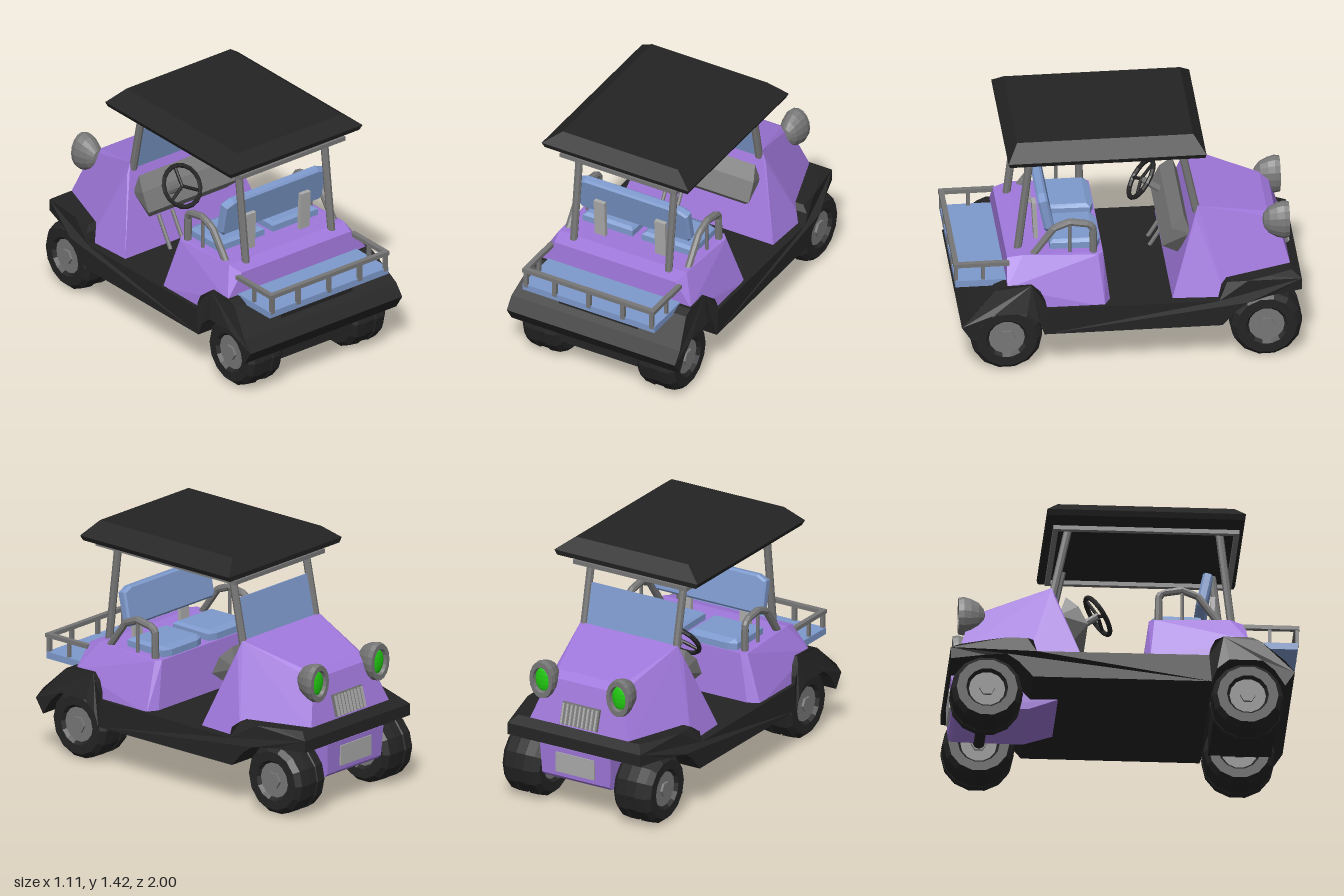
import * as THREE from 'three';
import { ConvexGeometry } from 'three/addons/geometries/ConvexGeometry.js';

const mat = (color) => new THREE.MeshStandardMaterial({ color, flatShading: true });
const V = (x, y, z) => new THREE.Vector3(x, y, z);

export function createModel() {
  const model = new THREE.Group();
  const purple = mat(0xa078dc), blue = mat(0x7d99cc), black = mat(0x242424);
  const metal = mat(0x777777), pale = mat(0xaaaaaa), green = mat(0x22cc11);

  const add = (name, geometry, material, x = 0, y = 0, z = 0) => {
    const mesh = new THREE.Mesh(geometry, material);
    mesh.name = name;
    mesh.position.set(x, y, z);
    model.add(mesh);
    return mesh;
  };
  const box = (name, material, w, h, d, x, y, z) =>
    add(name, new THREE.BoxGeometry(w, h, d), material, x, y, z);
  // Round bar between two points
  const bar = (name, a, b, r, material = metal) => {
    const m = add(name, new THREE.CylinderGeometry(r, r, a.distanceTo(b), 8), material);
    m.position.copy(a).add(b).multiplyScalar(0.5);
    m.quaternion.setFromUnitVectors(V(0, 1, 0), b.clone().sub(a).normalize());
    return m;
  };
  // Convex body from points mirrored across the middle
  const hull = (name, points, material, x = 0) =>
    add(name, new ConvexGeometry(points.flatMap(([px, y, z]) => [V(px, y, z), V(-px, y, z)])), material, x);
  // Side profile of [z, y] points extruded across the width
  const profile = (points, width) => {
    const shape = new THREE.Shape(points.map(([z, y]) => new THREE.Vector2(z, y)));
    const g = new THREE.ExtrudeGeometry(shape, { depth: width, bevelEnabled: false });
    return g.translate(0, 0, -width / 2).rotateY(-Math.PI / 2);
  };

  // Chassis with floor, fenders and bumpers; top edges and nose pulled inward
  const chassis = profile([
    [0.965, 0.33], [0.91, 0.4], [0.77, 0.54], [0.72, 0.562], [0.56, 0.562], [0.51, 0.52], [0.485, 0.47],
    [0.475, 0.425], [-0.51, 0.42], [-0.53, 0.49], [-0.56, 0.52], [-0.68, 0.52], [-0.8, 0.52], [-0.94, 0.52],
    [-0.995, 0.48], [-0.995, 0.41], [-0.8, 0.41], [-0.68, 0.4], [-0.61, 0.35], [-0.53, 0.26],
    [0.49, 0.26], [0.52, 0.34], [0.59, 0.4], [0.78, 0.4], [0.85, 0.34], [0.91, 0.245],
  ], 1.11);
  const p = chassis.attributes.position;
  for (let i = 0; i < p.count; i++) {
    const y = p.getY(i), z = p.getZ(i);
    let half = 0.555;
    if (z < -0.69) half = z < -0.9 ? 0.45 : 0.51;
    if (y > 0.53 || (z < -0.55 && y > 0.51)) half -= 0.04;
    p.setX(i, Math.sign(p.getX(i)) * half);
  }
  chassis.computeVertexNormals();
  add('chassis', chassis, black);
  box('rearAxleHousing', black, 0.52, 0.3, 0.36, 0, 0.32, 0.7);
  bar('frontAxle', V(-0.3, 0.21, -0.79), V(0.3, 0.21, -0.79), 0.035, black);

  // Hood, lower nose and rear body
  hull('hood', [
    [0.5, 0.41, -0.245], [0.51, 0.42, -0.55], [0.34, 0.5, -0.945], [0.33, 0.925, -0.41],
    [0.36, 0.86, -0.4], [0.22, 0.805, -0.82], [0.24, 0.77, -0.87],
  ], purple);
  hull('lowerNose', [
    [0.25, 0.41, -0.36], [0.25, 0.26, -0.37], [0.24, 0.2, -0.54], [0.23, 0.2, -0.95],
    [0.24, 0.4, -0.98], [0.23, 0.22, -0.97],
  ], purple);
  hull('rearBody', [
    [0.535, 0.41, 0.14], [0.47, 0.41, 0.105], [0.43, 0.695, 0.17], [0.4, 0.7, 0.14], [0.42, 0.712, 0.6],
    [0.4, 0.69, 0.69], [0.535, 0.41, 0.5], [0.51, 0.55, 0.7], [0.5, 0.42, 0.7],
  ], purple);

  // Front plate and grille
  box('frontPlate', pale, 0.26, 0.12, 0.02, 0, 0.31, -0.975);
  const tilt = 0.26;
  box('grille', metal, 0.25, 0.13, 0.02, 0, 0.595, -0.925).rotation.x = tilt;
  for (let i = 0; i < 9; i++)
    box('grilleSlat', pale, 0.012, 0.12, 0.02, -0.112 + i * 0.028, 0.595, -0.935).rotation.x = tilt;

  // Dashboard, steering and pedals
  hull('dashboard', [
    [0.33, 0.87, -0.33], [0.36, 0.8, -0.26], [0.36, 0.69, -0.205], [0.28, 0.6, -0.3], [0.34, 0.75, -0.37],
  ], metal);
  const axis = V(0, 0.57, 0.82).normalize();
  const wheelCentre = V(-0.17, 0.83, -0.137);
  const rim = add('steeringWheel', new THREE.TorusGeometry(0.122, 0.014, 6, 18), black);
  rim.position.copy(wheelCentre);
  rim.quaternion.setFromUnitVectors(V(0, 0, 1), axis);
  for (let i = 0; i < 3; i++) {
    const a = Math.PI / 2 + i * Math.PI * 2 / 3;
    const end = V(Math.cos(a) * 0.12, Math.sin(a) * 0.12, 0).applyQuaternion(rim.quaternion).add(wheelCentre);
    bar('steeringSpoke', wheelCentre, end, 0.01, black);
  }
  bar('steeringColumn', wheelCentre, wheelCentre.clone().addScaledVector(axis, -0.18), 0.022);
  for (const x of [-0.22, -0.12]) bar('pedal', V(x, 0.42, -0.18), V(x, 0.6, -0.29), 0.012);

  // Roof and its frame
  hull('roof', [
    [0.47, 1.32, 0.68], [0.485, 1.35, 0.69], [0.38, 1.43, 0.63],
    [0.47, 1.32, -0.44], [0.485, 1.35, -0.445], [0.38, 1.43, -0.38],
  ], black);
  for (const z of [0.645, -0.39]) box('roofFrameCross', metal, 0.77, 0.025, 0.03, 0, 1.283, z);

  // Windscreen follows the front posts
  const screen = box('windscreen', blue, 0.6, 0.28, 0.012, 0, 1.02, -0.375);
  screen.rotation.x = 0.21;

  // Rear rack
  box('rackFloor', blue, 0.87, 0.04, 0.3, 0, 0.55, 0.84);
  box('rackRail', metal, 0.87, 0.024, 0.03, 0, 0.667, 0.984);
  for (const x of [-0.415, -0.225, 0, 0.225, 0.415])
    box('rackPost', metal, 0.026, 0.11, 0.02, x, 0.61, 0.985);

  // Bench back
  const back = new THREE.Shape();
  [[-0.35, -0.115], [0.35, -0.115], [0.37, -0.09], [0.37, 0.09], [0.31, 0.115], [-0.31, 0.115], [-0.37, 0.09], [-0.37, -0.09]]
    .forEach(([x, y], i) => (i ? back.lineTo(x, y) : back.moveTo(x, y)));
  const backGeo = new THREE.ExtrudeGeometry(back, {
    depth: 0.035, bevelEnabled: true, bevelSize: 0.012, bevelOffset: -0.012, bevelThickness: 0.012, bevelSegments: 1,
  }).translate(0, 0, -0.0175);
  add('seatBack', backGeo, blue, 0, 0.937, 0.463).rotation.x = 0.21;

  // Wheel shapes shared by all corners
  const tyreGeo = new THREE.LatheGeometry([
    [0.1, -0.1], [0.12, -0.125], [0.175, -0.125], [0.203, -0.095], [0.21, -0.035], [0.203, -0.03],
    [0.203, 0.03], [0.21, 0.035], [0.203, 0.095], [0.175, 0.125], [0.12, 0.125], [0.1, 0.1],
  ].map(([r, y]) => new THREE.Vector2(r, y)), 14).rotateZ(Math.PI / 2);
  const hubGeo = new THREE.CylinderGeometry(0.105, 0.105, 0.21, 14).rotateZ(Math.PI / 2);
  const capGeo = new THREE.CylinderGeometry(0.045, 0.05, 0.24, 6).rotateZ(Math.PI / 2);
  const lampGeo = new THREE.LatheGeometry([
    [0, -0.085], [0.045, -0.075], [0.082, -0.045], [0.105, 0], [0.116, 0.04], [0.11, 0.07], [0.078, 0.07], [0.07, 0.045],
  ].map(([r, y]) => new THREE.Vector2(r, y)), 16).rotateX(-Math.PI / 2).scale(0.7, 1, 1);
  const lensGeo = new THREE.SphereGeometry(0.076, 16, 8).scale(0.7, 1, 0.25);

  // Parts on both sides
  for (const s of [-1, 1]) {
    for (const z of [0.7, -0.79]) {
      add('tyre', tyreGeo, black, s * 0.377, 0.21, z);
      add('wheelHub', hubGeo, metal, s * 0.377, 0.21, z);
      add('hubCap', capGeo, metal, s * 0.377, 0.21, z);
    }
    add('headlight', lampGeo, metal, s * 0.26, 0.765, -0.87);
    add('headlightLens', lensGeo, green, s * 0.26, 0.765, -0.912);

    bar('rearRoofPost', V(s * 0.313, 0.7, 0.62), V(s * 0.313, 1.33, 0.545), 0.023);
    bar('frontRoofPost', V(s * 0.313, 0.88, -0.405), V(s * 0.313, 1.33, -0.31), 0.023);
    box('roofFrameSide', metal, 0.03, 0.025, 1.06, s * 0.37, 1.283, 0.128);
    box('rackSideRail', metal, 0.03, 0.024, 0.32, s * 0.42, 0.667, 0.84);
    box('rackSidePost', metal, 0.02, 0.11, 0.02, s * 0.42, 0.61, 0.83);

    // Seat cushion with bevelled top
    hull('seatCushion', [
      [0.165, 0.7, 0.17], [0.165, 0.74, 0.17], [0.145, 0.76, 0.19], [0.11, 0.74, 0.15], [0.11, 0.7, 0.15],
      [0.165, 0.7, 0.44], [0.165, 0.745, 0.44], [0.145, 0.76, 0.42],
    ], blue, s * 0.195);
    box('seatBackSupport', pale, 0.07, 0.24, 0.025, s * 0.2, 0.82, 0.512).rotation.x = 0.05;

    // Armrest hoop and its strut
    const arm = new THREE.CurvePath();
    const pts = [[0.7, 0.54], [0.865, 0.42], [0.9, 0.33], [0.88, 0.215], [0.85, 0.197], [0.7, 0.195]]
      .map(([y, z]) => V(s * 0.395, y, z));
    for (let i = 1; i < pts.length; i++) arm.add(new THREE.LineCurve3(pts[i - 1], pts[i]));
    add('armrest', new THREE.TubeGeometry(arm, 24, 0.022, 8), metal);
    bar('armrestStrut', V(s * 0.395, 0.7, 0.33), V(s * 0.395, 0.9, 0.33), 0.01);
  }
  return model;
}
